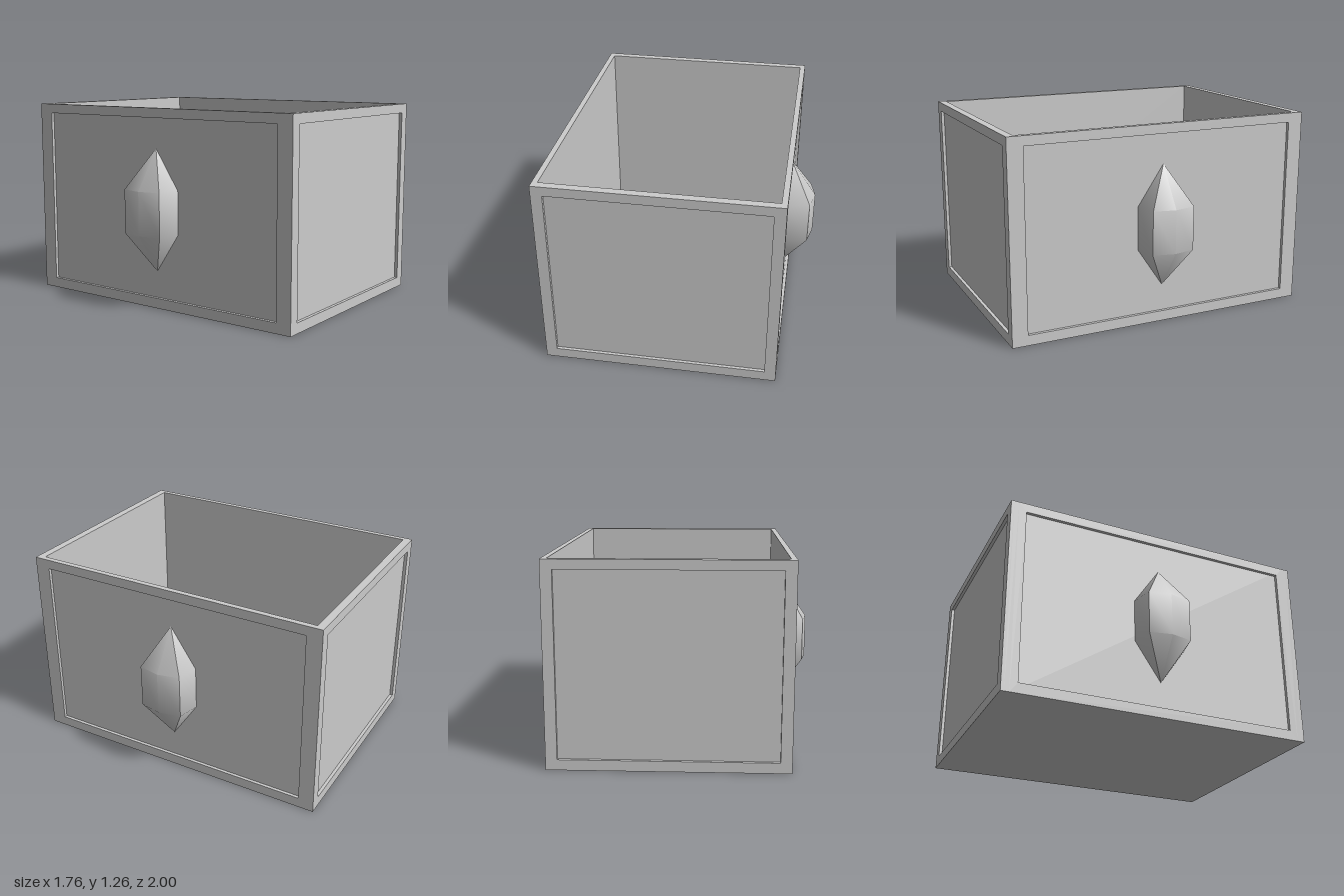
import * as THREE from 'three';
import { toCreasedNormals } from 'three/addons/utils/BufferGeometryUtils.js';

const W = 1.46, H = 1.26, D = 2;        // outer size of the box
const FLOOR = 0.05, RECESS = 0.02;      // floor thickness, depth of the sunken panels
const material = new THREE.MeshStandardMaterial({ color: 0xcccccc });

function addMesh(parent, name, geometry) {
  const mesh = new THREE.Mesh(geometry, material);
  mesh.name = name;
  parent.add(mesh);
  return mesh;
}

function rectangle(path, x0, y0, x1, y1) {
  path.moveTo(x0, y0);
  path.lineTo(x1, y0);
  path.lineTo(x1, y1);
  path.lineTo(x0, y1);
  path.closePath();
  return path;
}

// Wall with a raised border around a sunken panel; its outer face lies on z = 0
function createWall(name, width, thickness, panelHalf) {
  const wall = new THREE.Group();
  wall.name = name;
  const border = rectangle(new THREE.Shape(), -width / 2, 0, width / 2, H);
  border.holes.push(rectangle(new THREE.Path(), -panelHalf, 0.065, panelHalf, 1.2));
  const frame = new THREE.ExtrudeGeometry(border, { depth: RECESS, bevelEnabled: false });
  addMesh(wall, name + 'Frame', frame.translate(0, 0, -RECESS));
  const panel = new THREE.BoxGeometry(width, H, thickness - RECESS);
  addMesh(wall, name + 'Panel', panel.translate(0, H / 2, -(thickness + RECESS) / 2));
  return wall;
}

// Half of a faceted spindle, with its four diagonal corners pushed outward
function createHandleGeometry() {
  const profile = [[0, -0.388], [0.17, -0.1375], [0.17, 0.1375], [0, 0.388]]
    .map(([r, y]) => new THREE.Vector2(r, y));
  const geometry = new THREE.LatheGeometry(profile, 4, 0, Math.PI);
  const position = geometry.attributes.position;
  for (let i = 0; i < position.count; i++) {
    const column = Math.floor(i / profile.length);
    const push = column % 2 ? 1.16 : 1;
    position.setX(i, position.getX(i) * push);
    position.setZ(i, position.getZ(i) * push);
  }
  return toCreasedNormals(geometry, 0.7);
}

export function createModel() {
  const model = new THREE.Group();
  model.name = 'openBox';

  const sideThickness = 0.035, endThickness = 0.05;
  const handleGeometry = createHandleGeometry();

  for (const s of [1, -1]) {
    // Front and back walls
    const end = createWall(s > 0 ? 'frontWall' : 'backWall', W, endThickness, 0.66);
    end.position.z = s * D / 2;
    end.rotation.y = s > 0 ? 0 : Math.PI;
    model.add(end);

    // Side walls fit between the front and back walls
    const side = createWall(s > 0 ? 'leftWall' : 'rightWall', D - 2 * endThickness, sideThickness, 0.9);
    side.position.x = s * W / 2;
    side.rotation.y = s * Math.PI / 2;
    model.add(side);

    // Handles sit on the sunken side panels
    const handle = addMesh(model, s > 0 ? 'leftHandle' : 'rightHandle', handleGeometry);
    handle.position.set(s * (W / 2 - RECESS), 0.6225, 0);
    handle.rotation.y = s > 0 ? 0 : Math.PI;
  }

  // Floor
  const floor = new THREE.BoxGeometry(W - 2 * sideThickness, FLOOR, D - 2 * endThickness);
  addMesh(model, 'floor', floor.translate(0, FLOOR / 2, 0));

  return model;
}
